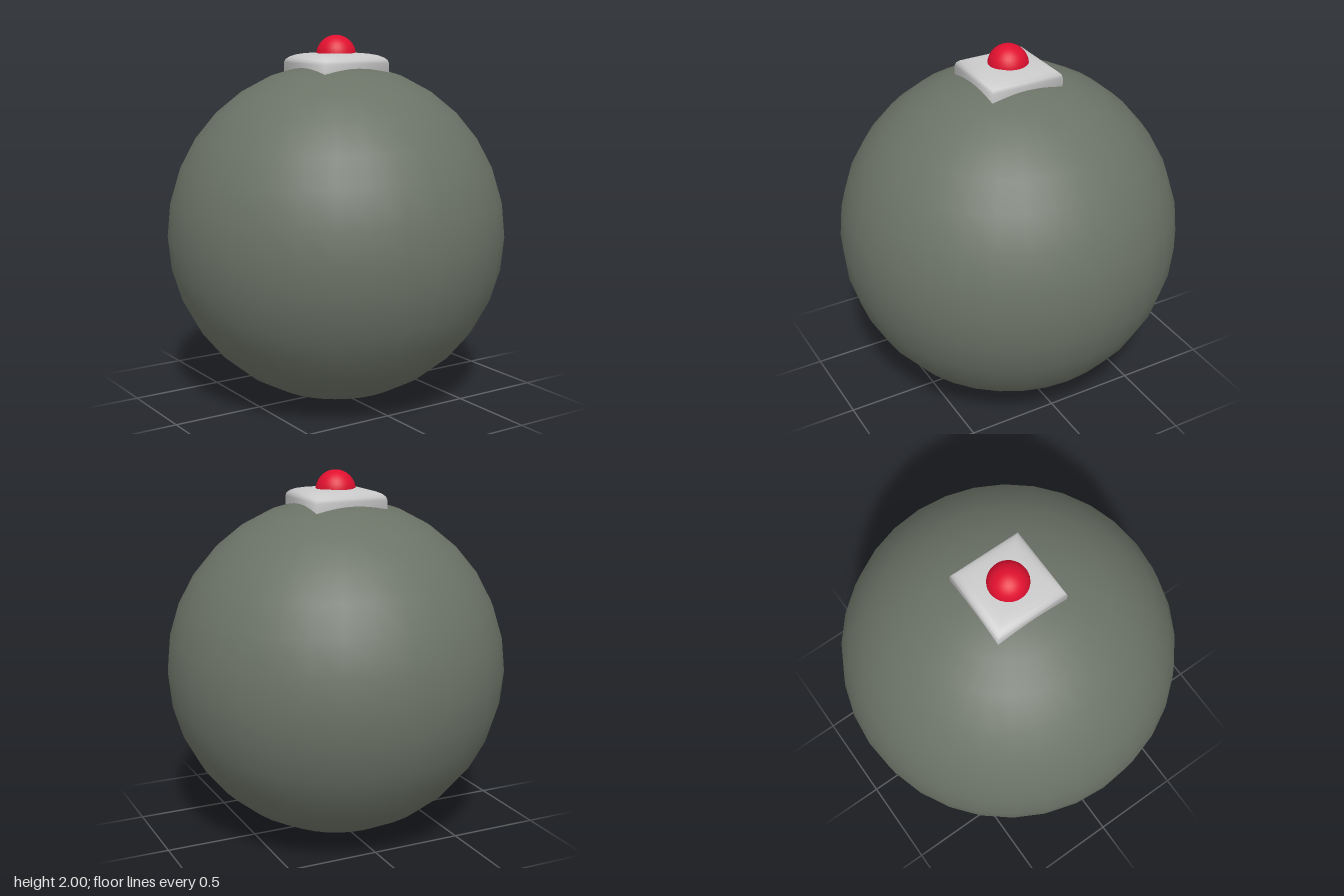
import * as THREE from 'three';

function part(name, geometry, color, y = 0) {
  const mesh = new THREE.Mesh(geometry, new THREE.MeshStandardMaterial({ color }));
  mesh.name = name;
  mesh.position.y = y;
  return mesh;
}

// Square pillow: a four-sided lathe whose profile gives half-width and height
function pillowGeometry(profile) {
  const points = profile.map(([half, y]) => new THREE.Vector2(half * Math.SQRT2, y));
  return new THREE.LatheGeometry(points, 4, Math.PI / 4);
}

export function createModel() {
  const model = new THREE.Group();
  model.name = 'ballWithButton';

  // Large round body
  model.add(part('body', new THREE.SphereGeometry(0.926, 32, 16), 0x6b7266, 0.926));

  // Square plate with a rounded top edge, sunk into the body
  model.add(part('plate', pillowGeometry([
    [0, 1.76], [0.203, 1.76], [0.205, 1.80], [0.205, 1.85], [0.199, 1.868],
    [0.184, 1.882], [0.16, 1.893], [0.125, 1.901], [0.08, 1.905], [0, 1.907],
  ]), 0xcccccc));

  // Red button, half sunk into the plate
  model.add(part('button', new THREE.SphereGeometry(0.108, 32, 16), 0xe0102f, 1.892));

  return model;
}
